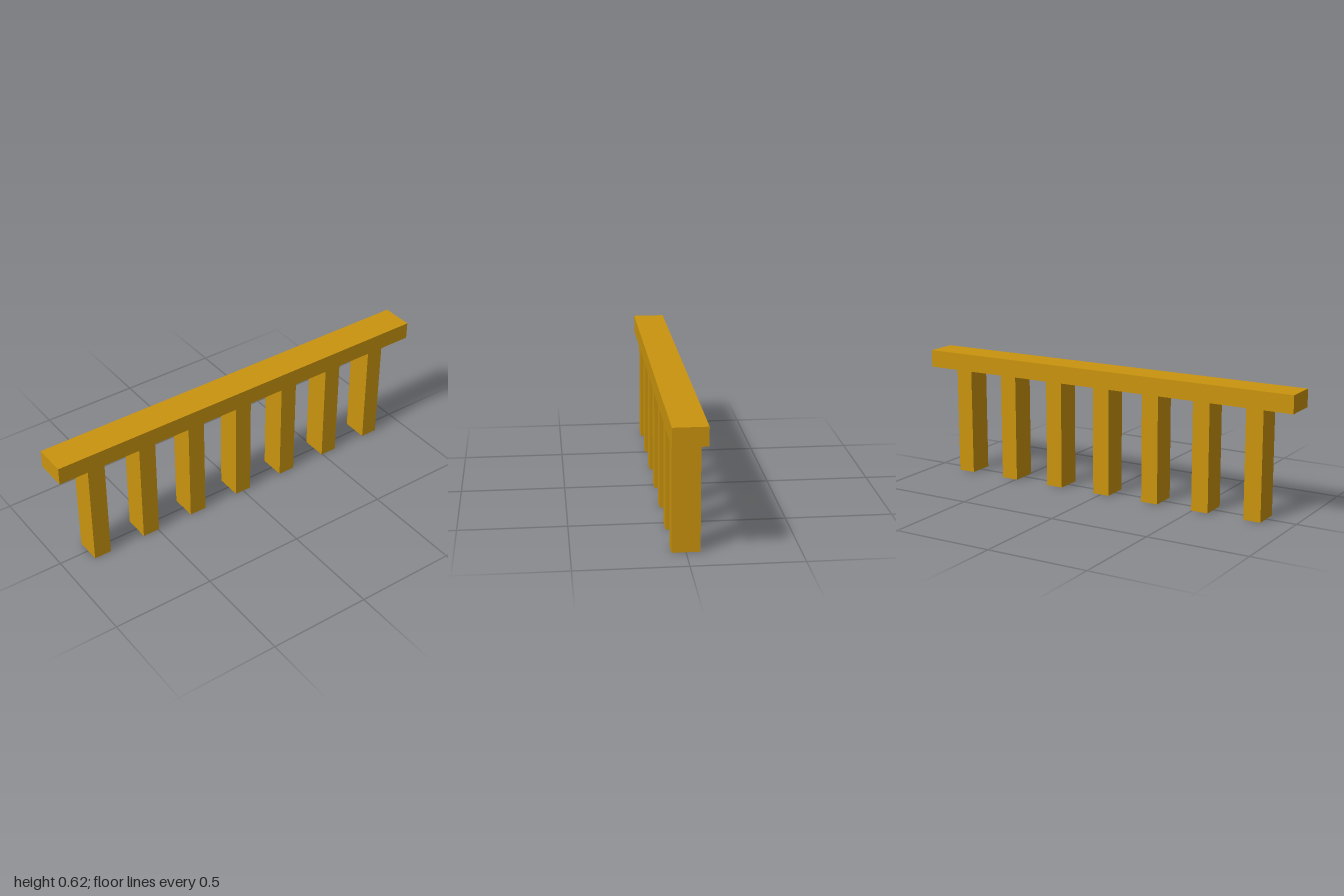
import * as THREE from 'three';

const RAIL = { width: 0.156, height: 0.086, length: 2, bottom: 0.531 };
const POST = { width: 0.127, depth: 0.086, count: 7, spacing: 0.269 };

export function createModel() {
  const model = new THREE.Group();
  model.name = 'balustrade';

  const wood = new THREE.MeshStandardMaterial({ color: 0xca940e });
  wood.name = 'golden wood';

  // Handrail
  const rail = new THREE.Mesh(new THREE.BoxGeometry(RAIL.width, RAIL.height, RAIL.length), wood);
  rail.name = 'handrail';
  rail.position.y = RAIL.bottom + RAIL.height / 2;
  model.add(rail);

  // Evenly spaced posts below the rail
  const postGeometry = new THREE.BoxGeometry(POST.width, RAIL.bottom, POST.depth);
  for (let i = 0; i < POST.count; i++) {
    const post = new THREE.Mesh(postGeometry, wood);
    post.name = `post${i + 1}`;
    post.position.set(0, RAIL.bottom / 2, (i - (POST.count - 1) / 2) * POST.spacing);
    model.add(post);
  }

  return model;
}
